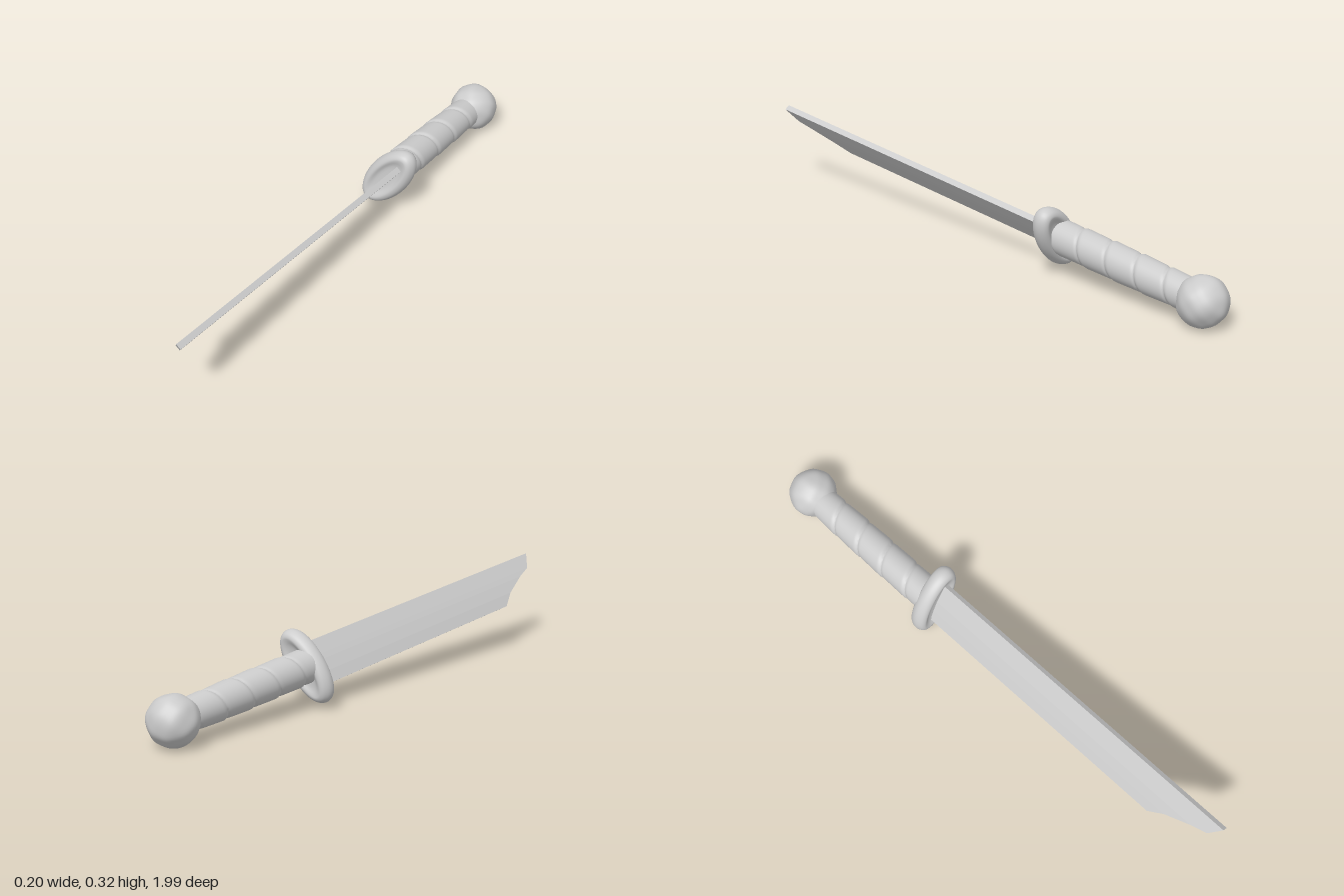
import * as THREE from 'three';
import { mergeVertices } from 'three/addons/utils/BufferGeometryUtils.js';

// Move every vertex by a rule, then weld and smooth
function reshape(geometry, rule) {
  geometry.deleteAttribute('uv');
  geometry.deleteAttribute('normal');
  const g = mergeVertices(geometry, 1e-5);
  const p = g.attributes.position;
  const v = new THREE.Vector3();
  for (let i = 0; i < p.count; i++) {
    v.fromBufferAttribute(p, i);
    rule(v);
    p.setXYZ(i, v.x, v.y, v.z);
  }
  g.computeVertexNormals();
  return g;
}

// Wedge blade: rows run from cutting edge to spine as [height, half thickness, length]
function bladeGeometry() {
  const rows = [
    [-0.083, 0.0004, 1.05],
    [-0.042, 0.006, 1.105],
    [0.0, 0.0095, 1.2],
    [0.02, 0.01, 1.262],
    [0.074, 0.0105, 1.302],
  ];
  const positions = [];
  const index = [];
  for (const [y, h, len] of rows) {
    positions.push(-h, y, 0, h, y, 0, h, y, len, -h, y, len);
  }
  const quad = (a, b, c, d) => index.push(a, b, c, a, c, d);
  for (let r = 0; r < rows.length - 1; r++) {
    for (let k = 0; k < 4; k++) {
      const a = r * 4 + k;
      const b = r * 4 + ((k + 1) % 4);
      quad(a, a + 4, b + 4, b);
    }
  }
  const top = (rows.length - 1) * 4;
  quad(0, 1, 2, 3);
  quad(top + 3, top + 2, top + 1, top);
  const g = new THREE.BufferGeometry();
  g.setAttribute('position', new THREE.Float32BufferAttribute(positions, 3));
  g.setIndex(index);
  const flat = g.toNonIndexed();
  flat.computeVertexNormals();
  return flat;
}

// Oval guard with a thick rounded rim and a shallow dish on both faces
function guardGeometry() {
  const half = [[0, 0.02], [0.028, 0.022], [0.045, 0.032], [0.06, 0.027], [0.069, 0.014]];
  const points = [
    ...half.map(([r, z]) => new THREE.Vector2(r, -z)),
    new THREE.Vector2(0.072, 0),
    ...half.slice().reverse().map(([r, z]) => new THREE.Vector2(r, z)),
  ];
  const profile = new THREE.SplineCurve(points).getPoints(40);
  profile.forEach((p) => { p.x = Math.max(0, p.x); });
  const g = new THREE.LatheGeometry(profile, 56).rotateX(Math.PI / 2);
  return reshape(g, (v) => {
    const r = Math.hypot(v.x, v.y);
    if (r > 1e-5) v.y += 0.066 * (v.y / r) * Math.min(1, r / 0.045);
  });
}

// Grip bound with an overlapping spiral wrap
function gripGeometry() {
  const length = 0.58;
  const g = new THREE.CylinderGeometry(1, 1, length, 48, 110);
  g.rotateX(-Math.PI / 2).translate(0, 0, -length / 2);
  return reshape(g, (v) => {
    const turn = Math.atan2(v.x, v.y) / (2 * Math.PI) + v.z / 0.12;
    const f = turn - Math.floor(turn);
    const groove = Math.exp(-Math.pow(Math.min(f, 1 - f) / 0.06, 2));
    const t = -v.z / length;
    const radius = 0.059 - 0.004 * t + 0.003 * Math.sin(Math.PI * t) + 0.003 * (f - 0.5) - 0.004 * groove;
    v.x *= radius;
    v.y *= radius;
  });
}

// Hammered ball
function pommelGeometry() {
  return reshape(new THREE.IcosahedronGeometry(1, 9), (v) => {
    const dents = Math.sin(5 * v.x + 2 * v.y + 1) * Math.sin(6 * v.y - 2 * v.z)
      + 0.6 * Math.sin(8 * v.z + 3 * v.x) * Math.sin(7 * v.x - 4 * v.y + 2);
    v.multiplyScalar(0.085 + 0.0017 * dents);
  });
}

export function createModel() {
  const material = new THREE.MeshStandardMaterial({ color: 0xcccccc });
  const model = new THREE.Group();
  model.name = 'shortSword';
  const add = (name, geometry, x, y, z) => {
    const mesh = new THREE.Mesh(geometry, material);
    mesh.name = name;
    mesh.position.set(x, y, z);
    sword.add(mesh);
  };

  // Whole sword lies tilted and rolled, with its origin at the guard
  const sword = new THREE.Group();
  sword.name = 'sword';
  sword.position.set(0, 0.142, -0.305);
  sword.rotation.set(-0.09, 0, -0.65);
  model.add(sword);

  add('blade', bladeGeometry(), 0.006, 0, 0);
  add('guard', guardGeometry(), 0, 0, 0);
  add('grip', gripGeometry(), -0.006, 0, 0);
  add('pommel', pommelGeometry(), -0.004, 0.002, -0.614);
  return model;
}
